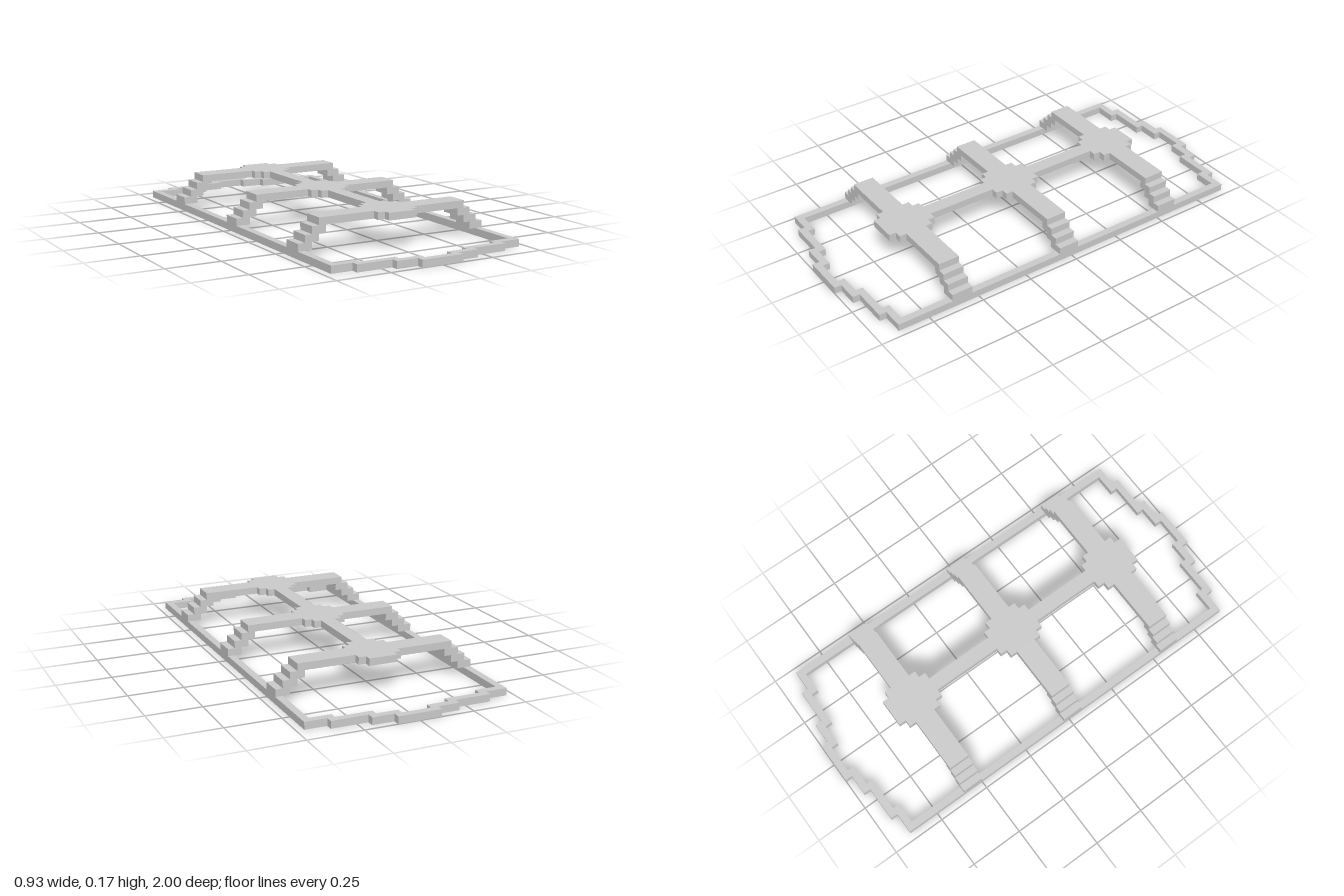
import * as THREE from 'three';

const U = 1 / 30; // size of one block
const material = new THREE.MeshStandardMaterial({ color: 0xcccccc, flatShading: true });

// Stepped outline symmetric in x: rows of [z where the row starts, half width], closed at zEnd.
function steppedOutline(rows, zEnd) {
  const right = [];
  rows.forEach(([z, w], i) => {
    const next = i + 1 < rows.length ? rows[i + 1][0] : zEnd;
    right.push([w, z], [w, next]);
  });
  const left = right.map(([x, z]) => [-x, z]).reverse();
  return [...right, ...left].map(([x, z]) => new THREE.Vector2(x * U, -z * U));
}

function extrude(shape, depth) {
  return new THREE.ExtrudeGeometry(shape, { depth: depth * U, bevelEnabled: false });
}

// Flat one-block-thick plate lying at height y.
function plate(name, shape, y) {
  const geometry = extrude(shape, 1).rotateX(-Math.PI / 2).translate(0, y * U, 0);
  const mesh = new THREE.Mesh(geometry, material);
  mesh.name = name;
  return mesh;
}

export function createModel() {
  const model = new THREE.Group();
  model.name = 'steppedFrame';

  // Base ring with stair-stepped ends; the hole winds opposite to the outline
  const ring = new THREE.Shape(steppedOutline(
    [[-30, 3], [-29, 6], [-28, 11], [-27, 14], [27, 11], [28, 6], [29, 3]], 30));
  ring.holes.push(new THREE.Path(steppedOutline(
    [[-29, 2], [-28, 5], [-27, 10], [-26, 13], [26, 10], [27, 5], [28, 2]], 29).reverse()));
  model.add(plate('baseRing', ring, 0));

  // Raised deck: three cross beams with rosettes, joined by a narrow spine
  const centres = [-16.5, 0.5, 17.5];
  const rows = [];
  centres.forEach((c, i) => {
    rows.push([c - 3.5, 2], [c - 2.5, 3], [c - 1.5, 11], [c + 1.5, 3], [c + 2.5, 2]);
    if (i < centres.length - 1) rows.push([c + 3.5, 1]);
  });
  model.add(plate('raisedDeck', new THREE.Shape(steppedOutline(rows, 21)), 4));

  // Stair-stepped legs carrying each cross beam
  const profile = [[14, 1], [14, 2], [13, 2], [13, 3], [12, 3], [12, 4],
    [10, 4], [10, 3], [11, 3], [11, 2], [12, 2], [12, 1]];
  for (const side of [1, -1]) {
    const shape = new THREE.Shape(profile.map(([x, y]) => new THREE.Vector2(side * x * U, y * U)));
    const geometry = extrude(shape, 3);
    centres.forEach((c, i) => {
      const leg = new THREE.Mesh(geometry, material);
      leg.name = `${side > 0 ? 'left' : 'right'}SteppedLeg${i + 1}`;
      leg.position.z = (c - 1.5) * U;
      model.add(leg);
    });
  }
  return model;
}
